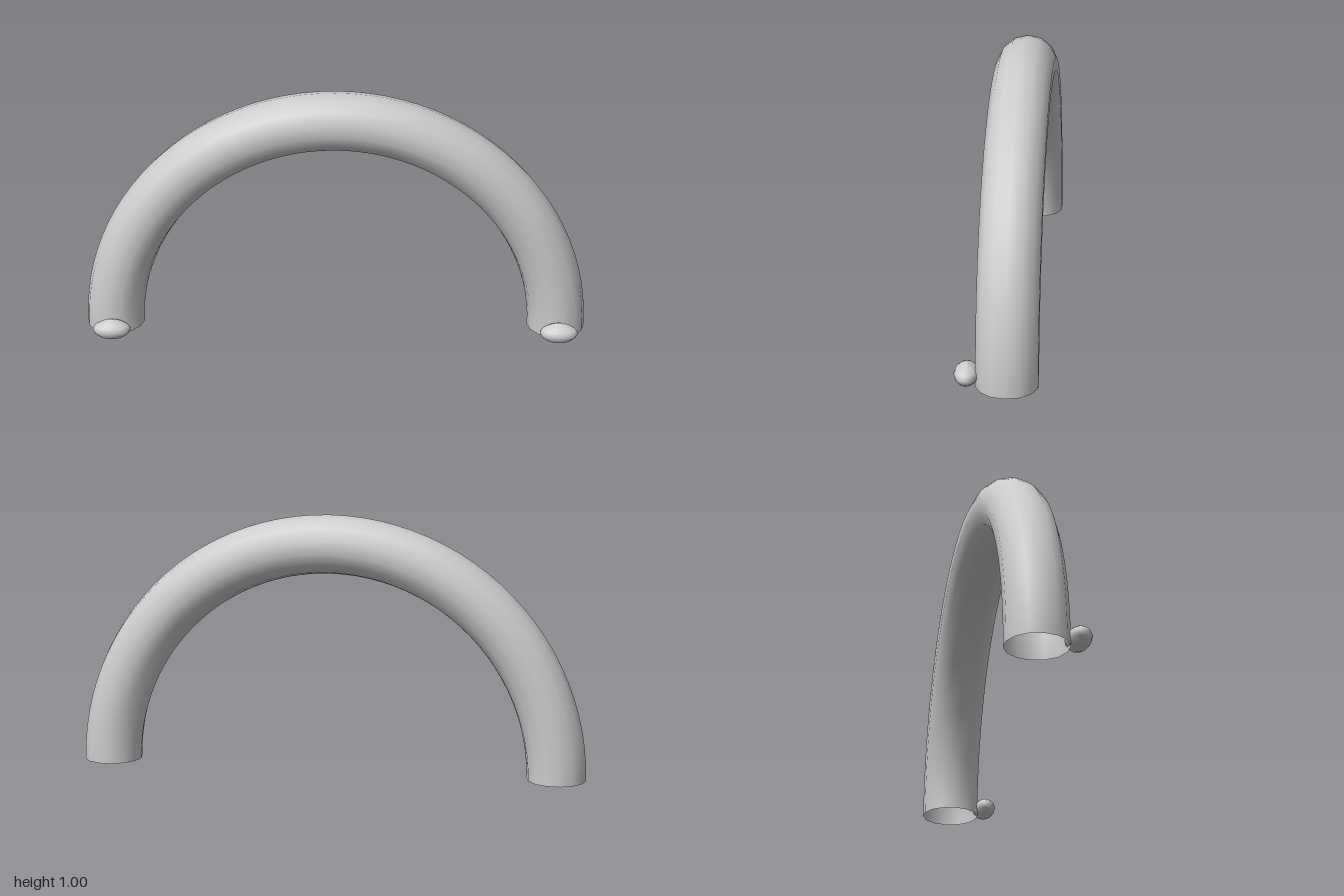
import * as THREE from 'three';

export function createModel() {
  const group = new THREE.Group();
  const material = new THREE.MeshStandardMaterial({ color: 0xcccccc, side: THREE.DoubleSide });

  // Half-ring tube, open at both feet
  const arch = new THREE.Mesh(new THREE.TorusGeometry(0.886, 0.114, 14, 48, Math.PI), material);
  arch.name = 'arch';
  arch.position.z = -0.04;
  group.add(arch);

  // Flattened oval knob with a slightly peaked top, at the front of each foot
  const profile = [
    [0, 0.002], [0.025, 0.004], [0.05, 0.012], [0.068, 0.026], [0.075, 0.043],
    [0.066, 0.058], [0.046, 0.07], [0.024, 0.079], [0, 0.086],
  ].map(([r, y]) => new THREE.Vector2(r, y));
  const knobGeometry = new THREE.LatheGeometry(profile, 24);
  knobGeometry.scale(1, 1, 0.61);

  for (const side of [1, -1]) {
    const knob = new THREE.Mesh(knobGeometry, material);
    knob.name = side > 0 ? 'leftKnob' : 'rightKnob';
    knob.position.set(side * 0.886, 0, 0.104);
    group.add(knob);
  }

  return group;
}
